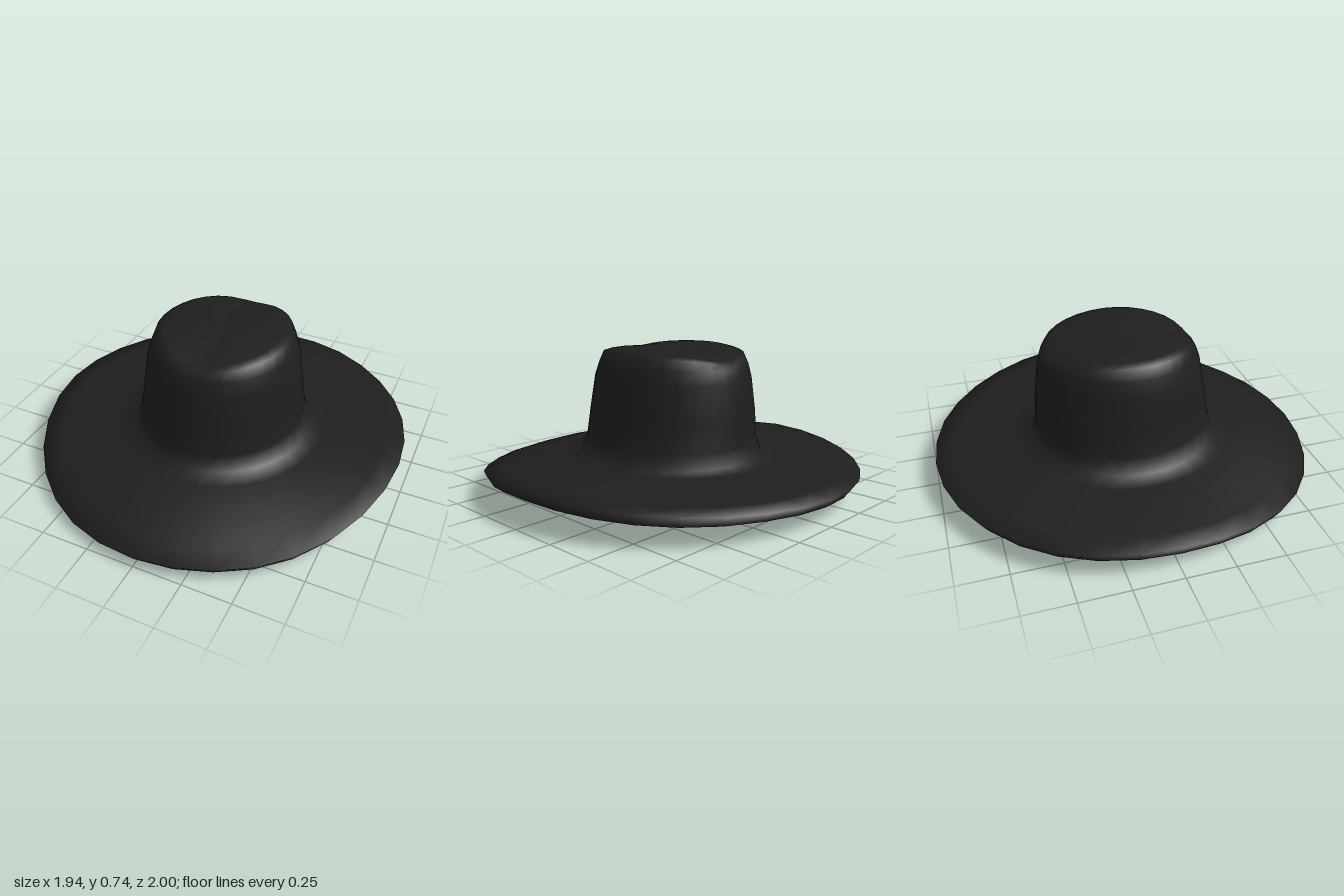
import * as THREE from 'three';

const SEGMENTS = 32;
const { clamp, lerp, smoothstep } = THREE.MathUtils;

// Height of the brim edge: high at the sides, low in front, a little low behind.
function rimHeight(s, c) {
  const drop = (c > 0 ? 0.109 : 0.035) * smoothstep(Math.abs(c), 0, 1);
  return 0.165 - drop + clamp(s * 0.03, -0.012, 0.012);
}

// Underside: spreads from the middle to the lower rim.
function undersidePoint(r, s, c) {
  const lowRim = rimHeight(s, c) - 0.06 + 0.015 * c * c;
  return [s * r * 0.97, lerp(0.09, lowRim, Math.min(r / 0.967, 1)), c * r];
}

// Upper brim: slopes from the crown out to the rim, rounder in front.
function brimPoint(r, s, c) {
  const t = clamp((r - 0.48) / 0.52, 0, 1) ** (1.1 + 0.5 * Math.max(c, 0));
  return [s * r * 0.97, lerp(0.192, rimHeight(s, c), t), c * r];
}

// Crown ring: [half width, front depth, back depth, height, amount of top shaping]
function crownPoint([w, front, back, h, shape], s, c) {
  const x = s * w, z = c * (c > 0 ? front : back);
  // The top falls towards front and back, with a soft pinch in the middle.
  const pinch = 0.024 * Math.exp(-((x / 0.13) ** 2)) * smoothstep(Math.abs(z), 0.17, 0.31);
  return [x, h - shape * (0.16 * z * z + pinch), z];
}

const UNDERSIDE = [0, 0.25, 0.5, 0.7, 0.87, 0.967];
const BRIM = [1, 0.9, 0.8, 0.69, 0.58, 0.485];
const CROWN = [
  [0.432, 0.46, 0.466, 0.27, 0], [0.412, 0.437, 0.46, 0.42, 0],
  [0.388, 0.405, 0.44, 0.59, 0], [0.365, 0.38, 0.425, 0.662, 0.2],
  [0.342, 0.357, 0.408, 0.722, 1], [0.3, 0.315, 0.37, 0.733, 1],
  [0.22, 0.24, 0.29, 0.737, 1], [0.12, 0.13, 0.16, 0.736, 1],
  [0, 0, 0, 0.736, 1],
];

export function createModel() {
  const group = new THREE.Group();
  group.name = 'hat';
  const felt = new THREE.MeshStandardMaterial({ color: 0x1e1e1e });
  felt.name = 'black felt';

  // One run of rings from the middle of the underside to the top of the crown.
  const rings = [
    ...UNDERSIDE.map((r) => (s, c) => undersidePoint(r, s, c)),
    ...BRIM.map((r) => (s, c) => brimPoint(r, s, c)),
    ...CROWN.map((ring) => (s, c) => crownPoint(ring, s, c)),
  ];
  const positions = [], index = [];
  rings.forEach((pointAt, i) => {
    for (let j = 0; j < SEGMENTS; j++) {
      const angle = (j / SEGMENTS) * Math.PI * 2;
      positions.push(...pointAt(Math.sin(angle), Math.cos(angle)));
      if (i === rings.length - 1) continue;
      const a = i * SEGMENTS + j, b = i * SEGMENTS + ((j + 1) % SEGMENTS);
      index.push(a, b, b + SEGMENTS, a, b + SEGMENTS, a + SEGMENTS);
    }
  });
  const skin = new THREE.BufferGeometry();
  skin.setAttribute('position', new THREE.Float32BufferAttribute(positions, 3));
  skin.setIndex(index);
  skin.computeVertexNormals();

  // Brim and crown share the normals, so the felt flows smoothly between them.
  const seam = (UNDERSIDE.length + BRIM.length - 1) * SEGMENTS * 6;
  const addPart = (name, faces) => {
    const geometry = skin.clone();
    geometry.setIndex(faces);
    const mesh = new THREE.Mesh(geometry, felt);
    mesh.name = name;
    group.add(mesh);
  };
  addPart('brim', index.slice(0, seam));
  addPart('crown', index.slice(seam));
  return group;
}
